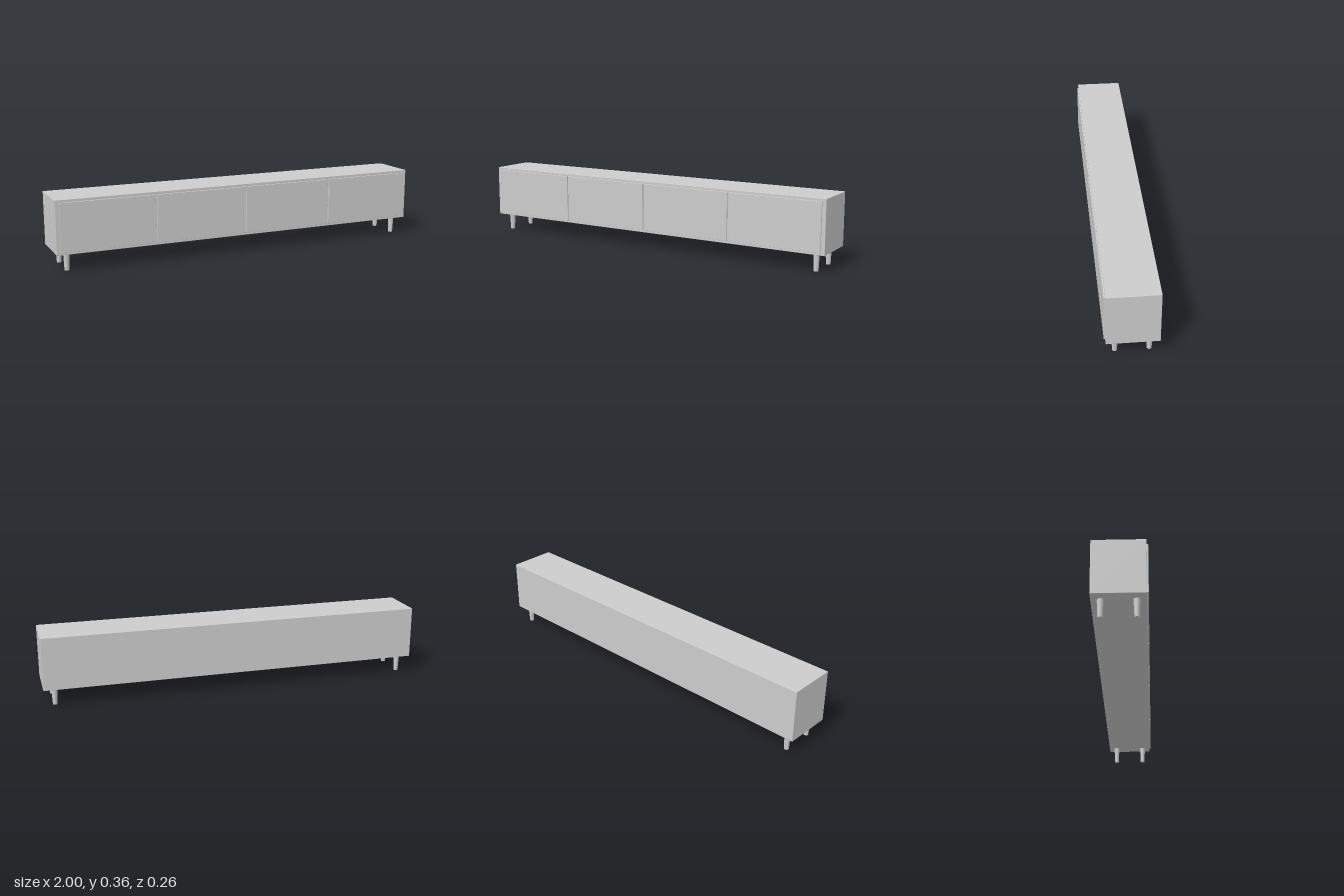
import * as THREE from 'three';
import { RoundedBoxGeometry } from 'three/addons/geometries/RoundedBoxGeometry.js';

export function createModel() {
  const group = new THREE.Group();
  group.name = 'sideboard';
  const paint = new THREE.MeshStandardMaterial({ color: 0xcccccc });
  paint.name = 'light grey';

  const add = (name, geometry, x, y, z) => {
    const mesh = new THREE.Mesh(geometry, paint);
    mesh.name = name;
    mesh.position.set(x, y, z);
    group.add(mesh);
  };

  // Long cabinet with barely softened edges
  add('cabinet', new RoundedBoxGeometry(2, 0.273, 0.249, 2, 0.002), 0, 0.2255, -0.0035);

  // Four flat doors standing slightly proud of the front
  const pitch = 0.4925;
  const doorGeometry = new RoundedBoxGeometry(pitch - 0.01, 0.246, 0.012, 2, 0.001);
  for (let i = 0; i < 4; i++) {
    add('door' + (i + 1), doorGeometry, (i - 1.5) * pitch, 0.225, 0.122);
  }

  // Tapered round legs near the corners
  const legGeometry = new THREE.CylinderGeometry(0.0155, 0.0115, 0.09, 32);
  for (const x of [-0.943, 0.943]) {
    for (const z of [0.076, -0.084]) {
      add(z > 0 ? 'frontLeg' : 'backLeg', legGeometry, x, 0.045, z);
    }
  }
  return group;
}
